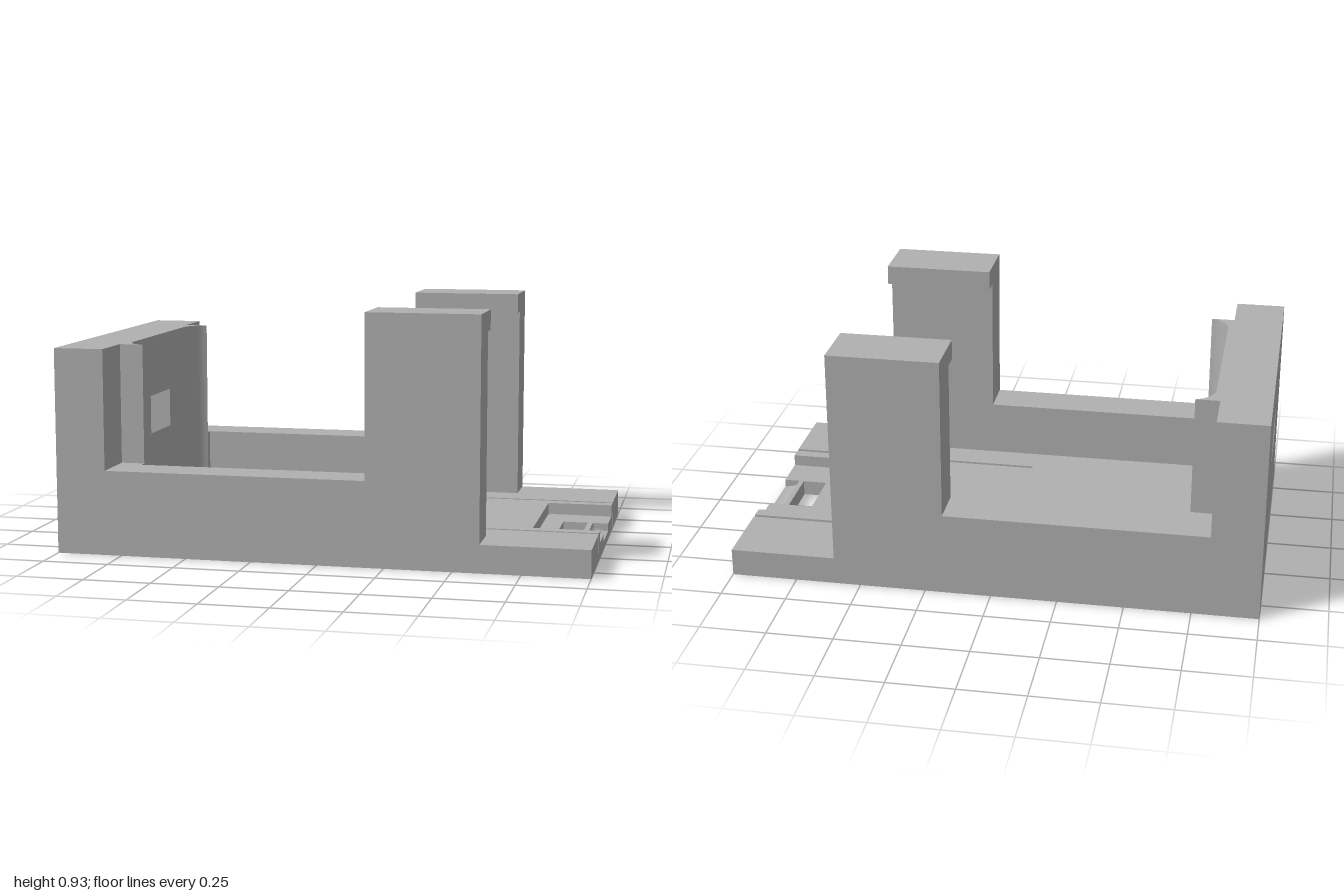
import * as THREE from 'three';
import { toCreasedNormals } from 'three/addons/utils/BufferGeometryUtils.js';

const FLOOR = 0.105, RAIL = 0.32, WALL = 0.775, POST = 0.93;

export function createModel() {
  const model = new THREE.Group();
  model.name = 'deviceCradle';
  const grey = new THREE.MeshStandardMaterial({ color: 0xb0b0b0 });
  grey.name = 'grey plastic';

  const toShape = (pts) => new THREE.Shape(pts.map(([a, b]) => new THREE.Vector2(a, b)));
  const add = (name, geometry) => {
    const mesh = new THREE.Mesh(toCreasedNormals(geometry, 0.5), grey);
    mesh.name = name;
    model.add(mesh);
  };
  const extrude = (shape, depth) => new THREE.ExtrudeGeometry(shape, { depth, bevelEnabled: false });

  // (x, z) outline raised from y0 to y1
  const plan = (name, pts, y0, y1) =>
    add(name, extrude(toShape(pts.map(([x, z]) => [x, -z])), y1 - y0).rotateX(-Math.PI / 2).translate(0, y0, 0));
  // (z, y) outline, with an optional hole, run from x0 to x1
  const across = (name, pts, x0, x1, hole) => {
    const flip = (list) => list.map(([z, y]) => [-z, y]);
    const shape = toShape(flip(pts));
    if (hole) shape.holes.push(toShape(flip(hole)));
    add(name, extrude(shape, x1 - x0).rotateY(Math.PI / 2).translate(x0, 0, 0));
  };
  // (x, y) outline run from z0 to z1
  const along = (name, pts, z0, z1) => add(name, extrude(toShape(pts), z1 - z0).translate(0, 0, z0));
  const rect = (a0, a1, b0, b1) => [[a0, b0], [a1, b0], [a1, b1], [a0, b1]];

  // Floor plate with two long flex slots and a recess in the open end
  const halfEdge = [[1, 0.6], [1, 0.318], [-0.01, 0.318], [-0.01, 0.302], [1, 0.302], [1, 0.255], [0.75, 0.255]];
  const mirrored = halfEdge.map(([x, z]) => [x, -z]).reverse();
  plan('floorPlate', [[-1, -0.6], [-1, 0.6], ...halfEdge, ...mirrored], 0, FLOOR);

  // Recess floor around the through slot, ending in a concave ramp
  const tray = 0.06, slot = 0.11;
  along('recessFloorLeft', rect(0.75, 1, 0, tray), slot, 0.255);
  along('recessFloorRight', rect(0.75, 1, 0, tray), -0.255, -slot);
  along('recessFloorInner', rect(0.75, 0.825, 0, tray), -slot, slot);
  const ramp = [];
  for (let i = 0; i <= 8; i++) {
    const t = (i / 8) * Math.PI / 2;
    ramp.push([1 - 0.06 * Math.cos(t), tray - 0.03 * Math.sin(t)]);
  }
  along('rampLip', [[1, 0], [0.92, 0], [0.92, tray], ...ramp], -slot, slot);

  // End wall with its window
  const corner = 0.315;
  across('endWall', rect(-corner, corner, FLOOR, WALL), -1, -0.79, rect(-0.12, 0.12, 0.39, 0.54));

  for (const s of [1, -1]) {
    const side = s > 0 ? 'Front' : 'Back';
    const m = (pts) => pts.map(([a, z]) => [a, z * s]);

    // End wall corner, curved inside and tapering to a prong
    const arc = [];
    const end = Math.acos(0.3);
    for (let i = 0; i <= 12; i++) {
      const t = end * (1 - i / 12);
      arc.push([-0.69 - 0.1 * Math.cos(t), corner + 0.1 * Math.sin(t)]);
    }
    const prongZ = arc[0][1];
    plan('endCorner' + side,
      m([[-1, corner], [-1, 0.6], [-0.81, 0.6], [-0.81, prongZ], ...arc]), FLOOR, WALL);

    // Low side rail, stepped in beside the prong
    plan('sideRail' + side,
      m([[-0.81, prongZ], [-0.72, prongZ], [-0.72, 0.44], [0.6, 0.44], [0.6, 0.6], [-0.81, 0.6]]), FLOOR, RAIL);

    // Tall post with an inward hook
    const post = [[0.6, RAIL], [0.6, POST], [0.375, POST], [0.375, 0.855], [0.44, 0.855], [0.44, RAIL]];
    across('hookPost' + side, post.map(([z, y]) => [z * s, y]), 0.18, 0.6);
  }
  return model;
}
